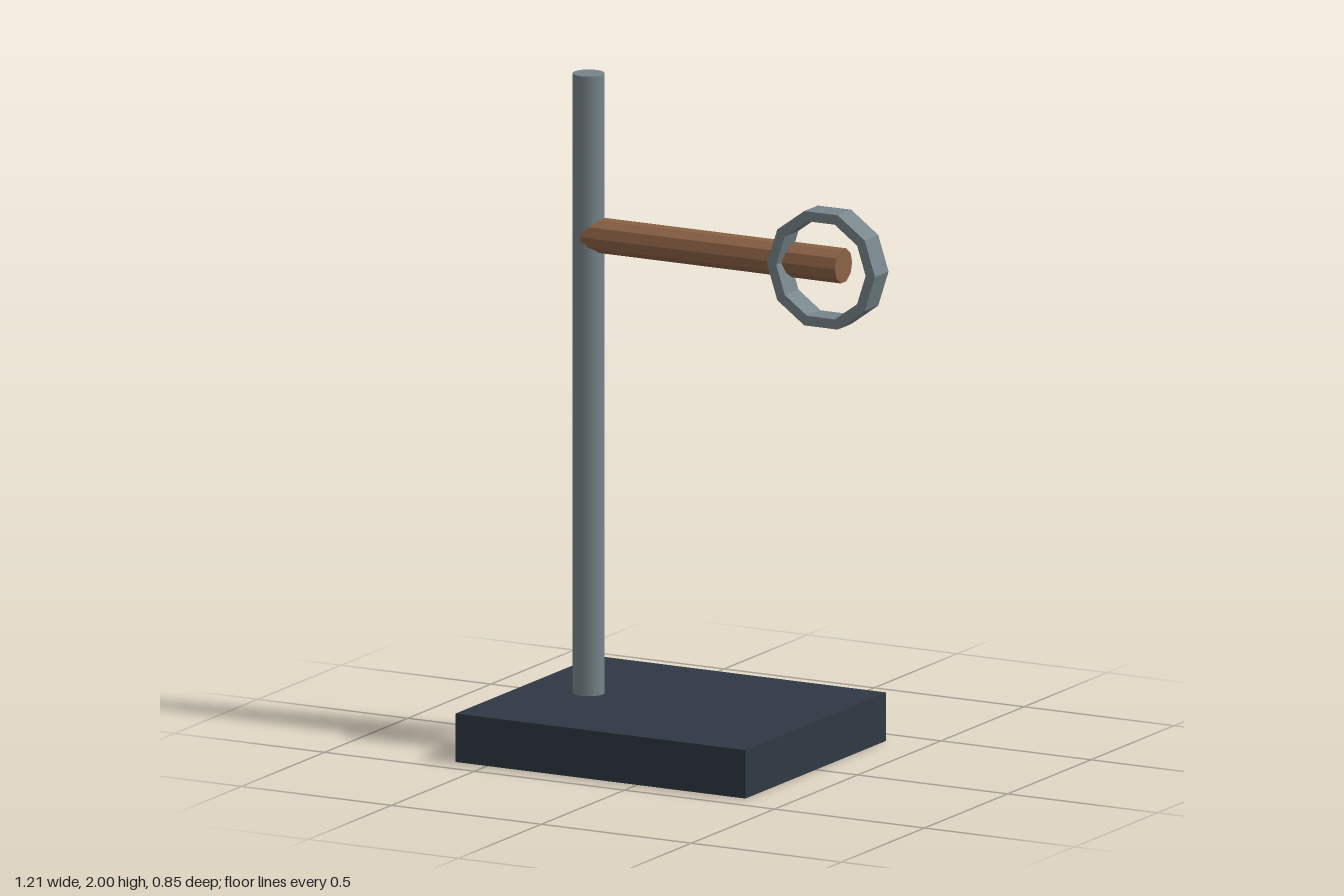
import * as THREE from 'three';

const mat = (name, color, flatShading = false) => {
  const m = new THREE.MeshStandardMaterial({ color });
  m.name = name;
  m.flatShading = flatShading;
  return m;
};

export function createModel() {
  const group = new THREE.Group();
  group.name = 'ringStand';

  const slate = mat('slate', 0x2f3844);
  const steel = mat('steel', 0x76848a);
  const wood = mat('wood', 0x8b6245, true);

  const add = (name, geometry, material, x, y, z) => {
    const mesh = new THREE.Mesh(geometry, material);
    mesh.name = name;
    mesh.position.set(x, y, z);
    group.add(mesh);
    return mesh;
  };

  // Heavy base plate
  add('base', new THREE.BoxGeometry(0.967, 0.145, 0.846), slate, -0.123, 0.0725, 0);

  // Upright pole, set near the left edge of the base
  add('pole', new THREE.CylinderGeometry(0.047, 0.047, 1.855, 20), steel, -0.397, 1.0725, 0);

  // Ten-sided wooden arm, with corners at its front and back
  const armLength = 0.85;
  const armGeometry = new THREE.CylinderGeometry(0.052, 0.052, armLength, 10);
  armGeometry.rotateZ(-Math.PI / 2);
  add('arm', armGeometry, wood, -0.397 + armLength / 2, 1.519, 0);

  // Ten-sided flat ring in front of the arm's free end
  const decagon = (radius) => Array.from({ length: 10 }, (_, i) => {
    const a = (i / 10) * Math.PI * 2;
    return new THREE.Vector2(radius * Math.cos(a), radius * Math.sin(a));
  });
  const ringShape = new THREE.Shape(decagon(0.18));
  ringShape.holes.push(new THREE.Path(decagon(0.149)));
  const ringGeometry = new THREE.ExtrudeGeometry(ringShape, { depth: 0.082, bevelEnabled: false });
  add('ring', ringGeometry, steel, 0.423, 1.519, 0);

  return group;
}
